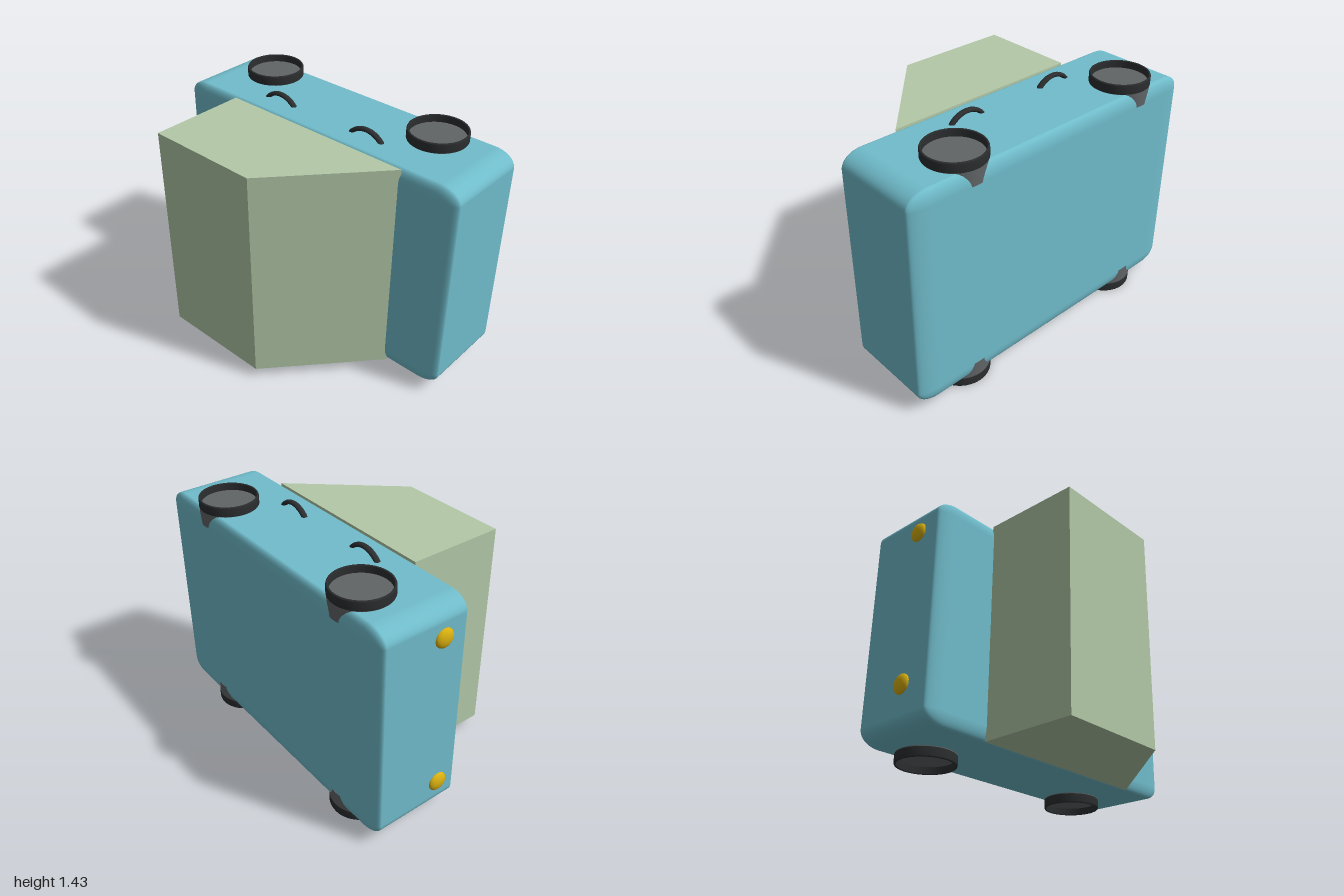
import * as THREE from 'three';
import { RoundedBoxGeometry } from 'three/addons/geometries/RoundedBoxGeometry.js';

const mat = (color, side = THREE.FrontSide) => new THREE.MeshStandardMaterial({ color, side });
const BOTTOM = 0.06, TOP = 1.373;

export function createModel() {
  const model = new THREE.Group();
  const paint = mat(0x70bccb), sage = mat(0xb3c9a8), rubber = mat(0x2b2d2f);
  const metal = mat(0x606466), gold = mat(0xd9b010, THREE.DoubleSide);

  const add = (name, geometry, material, x, y, z, parent = model) => {
    const mesh = new THREE.Mesh(geometry, material);
    mesh.name = name;
    mesh.position.set(x, y, z);
    parent.add(mesh);
    return mesh;
  };

  // Body: a rounded cube stretched to size, so the corners are elliptical
  const bodyGeo = new RoundedBoxGeometry(1, 1, 1, 6, 0.065);
  bodyGeo.scale(1.942, TOP - BOTTOM, 0.566);
  add('body', bodyGeo, paint, 0.029, (TOP + BOTTOM) / 2, -0.283);

  // Cabin: side profile with a sloping windscreen, extruded across the body
  const profile = new THREE.Shape([
    new THREE.Vector2(-0.545, -0.01), new THREE.Vector2(0.655, -0.01),
    new THREE.Vector2(0.14, 0.57), new THREE.Vector2(-0.545, 0.57),
  ]);
  const cabinGeo = new THREE.ExtrudeGeometry(profile, { depth: TOP - BOTTOM, bevelEnabled: false });
  cabinGeo.rotateX(Math.PI / 2);
  add('cabin', cabinGeo, sage, 0, TOP, 0);

  // Wheels: a hollow tyre ring over a recessed hub that sinks into the body
  const tyreGeo = new THREE.LatheGeometry([
    [0.157, 0], [0.167, 0], [0.17, 0.004], [0.17, 0.05], [0.167, 0.057], [0.16, 0.057], [0.157, 0.053], [0.157, 0],
  ].map(([r, y]) => new THREE.Vector2(r, y)), 48);
  const hubGeo = new THREE.CylinderGeometry(0.168, 0.168, 0.09, 48);
  const hubFaceGeo = new THREE.CylinderGeometry(0.158, 0.158, 0.02, 48);
  for (const x of [-0.6, 0.6]) {
    for (const upper of [true, false]) {
      const wheel = new THREE.Group();
      wheel.name = 'wheel';
      wheel.position.set(x, upper ? TOP : BOTTOM - 0.003, -0.402);
      if (!upper) wheel.rotation.x = Math.PI;
      add('tyre', tyreGeo, rubber, 0, 0, 0, wheel);
      add('hub', hubGeo, metal, 0, -0.043, 0, wheel);
      add('hubFace', hubFaceGeo, metal, 0, 0.005, 0, wheel);
      model.add(wheel);
    }
  }

  // Door handles: arched bars on the upper side
  for (const x of [-0.32, 0.31]) {
    const handle = add('doorHandle', new THREE.TorusGeometry(0.138, 0.013, 12, 32, Math.PI), rubber, x, 1.277, -0.156);
    handle.scale.z = 1.35;
  }

  // Headlights: shallow domes on the end
  for (const [x, y] of [[-0.946, 1.205], [-0.974, 0.29]]) {
    const dome = new THREE.SphereGeometry(0.056, 32, 12, 0, Math.PI * 2, 0, Math.PI / 2);
    dome.rotateZ(Math.PI / 2);
    dome.scale(0.48, 1, 1);
    add('headlight', dome, gold, x, y, -0.177);
  }
  return model;
}
